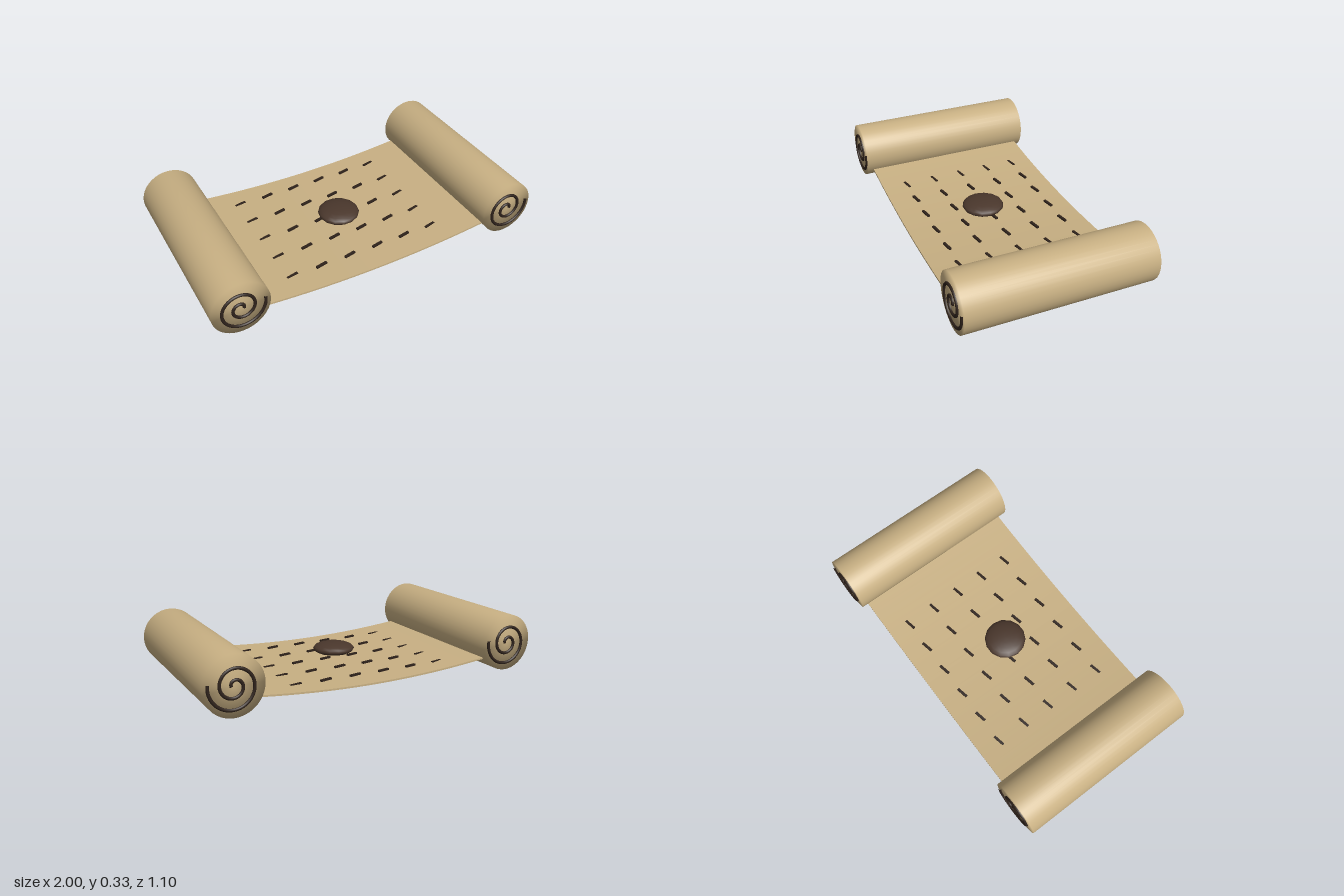
import * as THREE from 'three';
import { mergeVertices } from 'three/addons/utils/BufferGeometryUtils.js';

const material = (name, color) => {
  const m = new THREE.MeshStandardMaterial({ color });
  m.name = name;
  return m;
};

// Share vertices so that normals run smoothly over the edges
function smooth(geometry) {
  geometry.deleteAttribute('normal');
  geometry.deleteAttribute('uv');
  const merged = mergeVertices(geometry, 1e-4);
  merged.computeVertexNormals();
  return merged;
}

export function createModel() {
  const model = new THREE.Group();
  model.name = 'scroll';
  const parchment = material('parchment', 0xc8b083);
  const ink = material('ink', 0x2e221b);
  const wax = material('darkWax', 0x4a372c);

  const add = (name, geometry, mat, x, y, z) => {
    const mesh = new THREE.Mesh(geometry, mat);
    mesh.name = name;
    mesh.position.set(x, y, z);
    model.add(mesh);
    return mesh;
  };

  // Sagging sheet between the rolls
  const sheet = new THREE.BoxGeometry(1.46, 0.01, 1, 32, 1, 1);
  const p = sheet.attributes.position;
  for (let i = 0; i < p.count; i++) {
    p.setY(i, p.getY(i) + 0.038 + 0.08 * p.getX(i) ** 2);
  }
  sheet.computeVertexNormals();
  add('sheet', sheet, parchment, 0, 0, 0);

  // Spiral line drawn on the roll ends
  const points = [];
  for (let i = 0; i <= 48; i++) {
    const t = (i / 48) * 2.03;
    const r = 0.015 + 0.06 * t;
    points.push(new THREE.Vector3(r * Math.cos(t * Math.PI * 2), r * Math.sin(t * Math.PI * 2), 0));
  }
  const spiral = new THREE.TubeGeometry(new THREE.CatmullRomCurve3(points), 110, 0.009, 8);

  // Rolls with a spiral at each end
  const roll = smooth(new THREE.CylinderGeometry(0.163, 0.163, 1.078, 40).rotateX(Math.PI / 2));
  for (const [side, x] of [['left', 0.837], ['right', -0.837]]) {
    add(side + 'Roll', roll, parchment, x, 0.164, 0);
    add(side + 'FrontSpiral', spiral, ink, x, 0.164, 0.541);
    add(side + 'BackSpiral', spiral, ink, x, 0.164, -0.541);
  }

  // Rows of slanted ink strokes
  const stroke = new THREE.BoxGeometry(0.07, 0.01, 0.015);
  for (let row = 0; row < 5; row++) {
    for (let col = 0; col < 6; col++) {
      const mark = add('inkStroke', stroke, ink, -0.465 + col * 0.18, 0.058, -0.37 + row * 0.18);
      mark.rotation.y = 0.2;
    }
  }

  // Flattened seal over the middle
  const seal = add('seal', new THREE.SphereGeometry(0.122, 14, 10), wax, 0, 0.102, 0.027);
  seal.scale.y = 0.3;

  return model;
}
